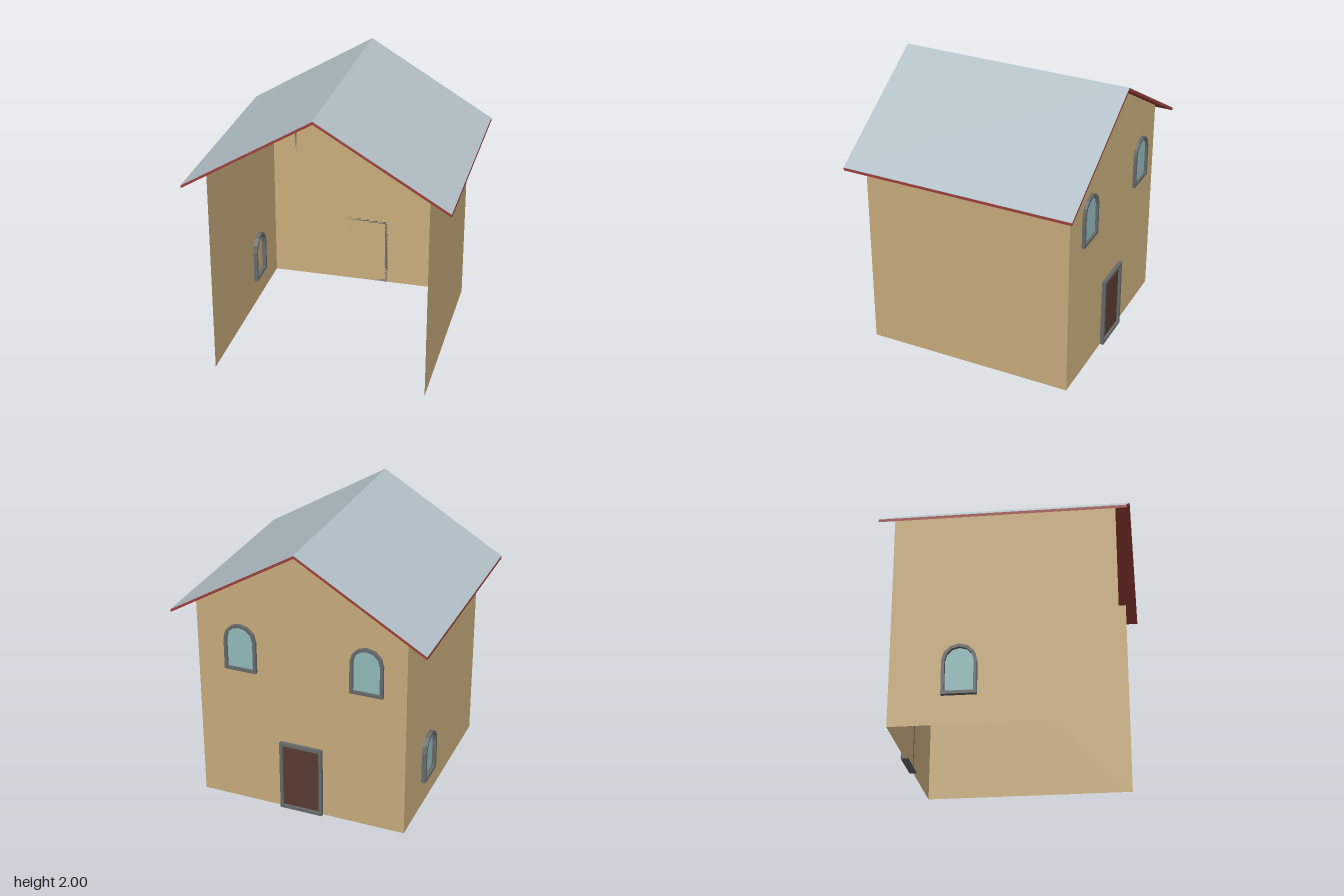
import * as THREE from 'three';

const mat = (color, side = THREE.FrontSide) =>
  new THREE.MeshStandardMaterial({ color, side, flatShading: true });

const wallMat = mat(0xcaae7d, THREE.DoubleSide);
const roofMat = mat(0xb3c0c7);
const trimMat = mat(0x9e413b);
const frameMat = mat(0x686b6b);
const glassMat = mat(0x93bcbd);
const doorMat = mat(0x5a3c30);

const W = 0.76;              // half width and half depth of the walls
const EAVE = 1.525, PEAK = 1.978;

function add(parent, name, geometry, material) {
  const mesh = new THREE.Mesh(geometry, material);
  mesh.name = name;
  parent.add(mesh);
  return mesh;
}

function polygon(points) {
  return new THREE.Shape(points.map(([x, y]) => new THREE.Vector2(x, y)));
}

function extrude(shape, z0, z1) {
  return new THREE.ExtrudeGeometry(shape, { depth: z1 - z0, bevelEnabled: false }).translate(0, 0, z0);
}

// Six-sided half ring of points, running from right to left
function arc(r, cy) {
  return Array.from({ length: 7 }, (_, i) => {
    const a = (i * Math.PI) / 6;
    return [r * Math.cos(a), cy + r * Math.sin(a)];
  });
}

// Round-topped outline standing on y = base
const archPoints = (r, spring, base) => [[-r, base], [r, base], ...arc(r, spring)];

const R = 0.118, BAR = 0.022, SPRING = 0.235;

// Window with its wall plane at z = 0, outside towards +z
function makeWindow(name, inner, outer) {
  const g = new THREE.Group();
  g.name = name;
  const frame = polygon(archPoints(R, SPRING, 0));
  frame.holes.push(polygon(archPoints(R - BAR, SPRING, BAR)));
  add(g, 'windowFrame', extrude(frame, inner, outer), frameMat);
  const glass = polygon(archPoints(R - BAR, SPRING, BAR));
  add(g, 'windowGlass', new THREE.ShapeGeometry(glass).translate(0, 0, 0.005), glassMat);
  return g;
}

// Roof layer: an upside-down V with upright eave edges
function roofLayer(top, thickness) {
  const x = 0.915, drop = 0.547;
  return extrude(polygon([
    [0, top], [-x, top - drop], [-x, top - drop - thickness],
    [0, top - thickness], [x, top - drop - thickness], [x, top - drop],
  ]), -0.84, 0.84);
}

export function createModel() {
  const house = new THREE.Group();
  house.name = 'house';

  // Walls: two sides and a gabled back, open at the front
  for (const [name, s] of [['leftWall', 1], ['rightWall', -1]]) {
    const wall = add(house, name, new THREE.PlaneGeometry(2 * W, EAVE), wallMat);
    wall.rotation.y = (s * Math.PI) / 2;
    wall.position.set(s * W, EAVE / 2, 0);
  }
  const gable = polygon([[-W, 0], [W, 0], [W, EAVE], [0, PEAK], [-W, EAVE]]);
  add(house, 'backWall', new THREE.ShapeGeometry(gable).translate(0, 0, -W), wallMat);

  // Roof: red boards under a thin grey covering
  add(house, 'roofBoards', roofLayer(1.997, 0.02), trimMat);
  add(house, 'roofCovering', roofLayer(2, 0.003), roofMat);

  // Back windows, whose arches reach through the wall
  for (const x of [-0.48, 0.437]) {
    const win = makeWindow('backWindow', 0, 0.022);
    const arch = polygon([...arc(R, SPRING), ...arc(R - BAR, SPRING).reverse()]);
    add(win, 'innerArch', extrude(arch, -0.02, 0), frameMat);
    win.rotation.y = Math.PI;
    win.position.set(x, 1.04, -W);
    house.add(win);
  }

  // Side window, its frame standing out on both faces
  const side = makeWindow('sideWindow', -0.03, 0.032);
  side.rotation.y = -Math.PI / 2;
  side.position.set(-W, 0.2, -0.29);
  house.add(side);

  // Back door
  const door = new THREE.Group();
  door.name = 'backDoor';
  const w = 0.158, h = 0.535;
  const rect = (x, y0, y1) => polygon([[-x, y0], [x, y0], [x, y1], [-x, y1]]);
  const surround = rect(w, 0, h);
  surround.holes.push(rect(w - BAR, BAR, h - BAR));
  add(door, 'doorFrame', extrude(surround, 0, 0.027), frameMat);
  add(door, 'doorPanel', new THREE.ShapeGeometry(rect(w - BAR, BAR, h - BAR)).translate(0, 0, 0.008), doorMat);
  // Underside of the sill, continuing inside the wall
  const sill = add(door, 'doorSill', new THREE.PlaneGeometry(2 * w, 0.027), frameMat);
  sill.rotation.x = Math.PI / 2;
  sill.position.z = -0.0135;
  door.rotation.y = Math.PI;
  door.position.z = -W;
  house.add(door);

  return house;
}
